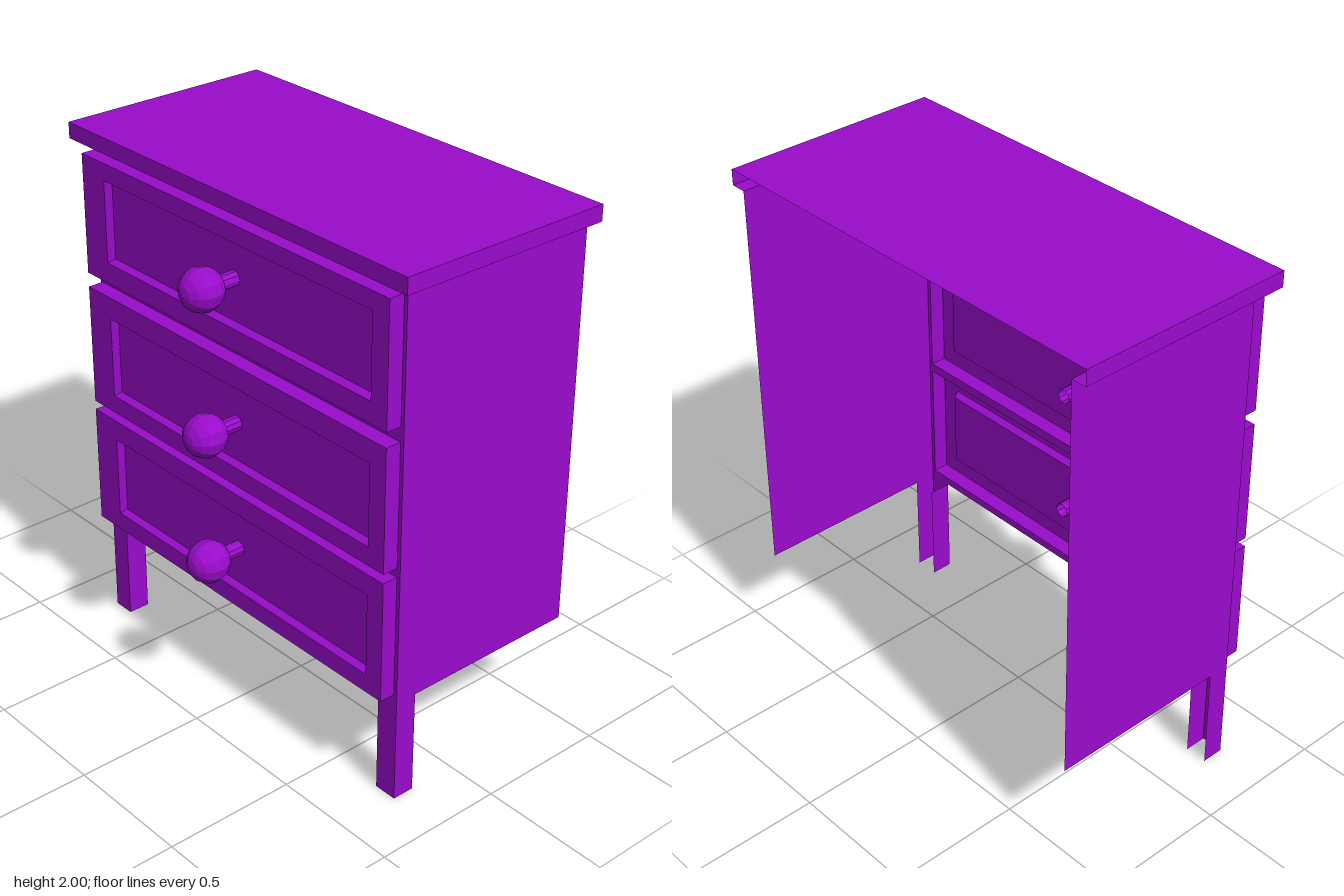
import * as THREE from 'three';

const material = new THREE.MeshStandardMaterial({ color: 0x9a0ccc, side: THREE.DoubleSide, flatShading: true });

// Body limits
const FRONT = -0.27, BACK = 0.52, Z0 = -0.795, Z1 = 0.8, BOTTOM = 0.4, TOP = 1.94;

function add(parent, name, geometry) {
  const mesh = new THREE.Mesh(geometry, material);
  mesh.name = name;
  parent.add(mesh);
  return mesh;
}

// Flat-shaded surface from a list of four-cornered faces
function quads(faces) {
  const points = [];
  for (const [a, b, c, d] of faces) points.push(...a, ...b, ...c, ...a, ...c, ...d);
  const geometry = new THREE.BufferGeometry();
  geometry.setAttribute('position', new THREE.Float32BufferAttribute(points, 3));
  geometry.computeVertexNormals();
  return geometry;
}

// Corners of an upright rectangle at a given x
function rect(x, z0, z1, y0, y1) {
  return [[x, y0, z0], [x, y0, z1], [x, y1, z1], [x, y1, z0]];
}

// Horizontal rectangle
function slab(y, x0, x1, z0, z1) {
  return [[x0, y, z0], [x0, y, z1], [x1, y, z1], [x1, y, z0]];
}

// Drawer front: rim walls, flat border, bevelled recess and panel
function drawerFront(y0, y1, p0, p1) {
  const loops = [
    rect(FRONT, -0.785, 0.785, y0, y1),
    rect(-0.33, -0.785, 0.785, y0, y1),
    rect(-0.33, -0.66, 0.71, p0, p1),
    rect(-0.305, -0.647, 0.697, p0 + 0.013, p1 - 0.013),
  ];
  const faces = [loops[3]];
  for (let i = 0; i < 3; i++) {
    for (let k = 0; k < 4; k++) {
      const n = (k + 1) % 4;
      faces.push([loops[i][k], loops[i][n], loops[i + 1][n], loops[i + 1][k]]);
    }
  }
  return quads(faces);
}

export function createModel() {
  const model = new THREE.Group();
  model.name = 'chestOfDrawers';

  // Top board, open underneath and at the back, with an overhanging lip
  const tx = -0.33, tz0 = -0.855, tz1 = 0.86, ty = 2;
  add(model, 'topBoard', quads([
    slab(ty, tx, BACK, tz0, tz1),
    [[tx, TOP, tz0], [tx, TOP, tz1], [tx, ty, tz1], [tx, ty, tz0]],
    [[tx, TOP, tz1], [BACK, TOP, tz1], [BACK, ty, tz1], [tx, ty, tz1]],
    [[BACK, TOP, tz0], [tx, TOP, tz0], [tx, ty, tz0], [BACK, ty, tz0]],
    slab(TOP, tx, FRONT, tz0, tz1).reverse(),
    slab(TOP, FRONT, BACK, Z1, tz1).reverse(),
    slab(TOP, FRONT, BACK, tz0, Z0).reverse(),
  ]));

  // Side panels
  for (const [name, z] of [['sidePanelNear', Z1], ['sidePanelFar', Z0]]) {
    const side = [[FRONT, BOTTOM, z], [BACK, BOTTOM, z], [BACK, TOP, z], [FRONT, TOP, z]];
    add(model, name, quads([z > 0 ? side : side.reverse()]));
  }

  // Drawer rows: bottom, top, panel bottom, panel top, knob height
  const rows = [
    [0.43, 0.895, 0.5, 0.815, 0.66],
    [0.93, 1.395, 1.0, 1.31, 1.16],
    [1.45, 1.905, 1.53, 1.84, 1.7],
  ];

  // Face frame with an opening for each drawer
  const frame = new THREE.Shape();
  frame.moveTo(Z0, BOTTOM).lineTo(Z1, BOTTOM).lineTo(Z1, TOP).lineTo(Z0, TOP).closePath();
  for (const [y0, y1] of rows) {
    const hole = new THREE.Path();
    hole.moveTo(-0.785, y0).lineTo(-0.785, y1).lineTo(0.785, y1).lineTo(0.785, y0).closePath();
    frame.holes.push(hole);
  }
  add(model, 'faceFrame', new THREE.ShapeGeometry(frame).rotateY(-Math.PI / 2).translate(FRONT, 0, 0));

  // Drawers, each with a round knob on a hollow stem
  rows.forEach(([y0, y1, p0, p1, knobY], i) => {
    const drawer = new THREE.Group();
    drawer.name = `drawer${i + 1}`;
    add(drawer, 'drawerFront', drawerFront(y0, y1, p0, p1));
    const stem = new THREE.CylinderGeometry(0.028, 0.028, 0.16, 10, 1, true).rotateZ(Math.PI / 2);
    add(drawer, 'knobStem', stem).position.set(-0.315, knobY, 0.02);
    const ball = new THREE.SphereGeometry(0.079, 12, 8).rotateZ(Math.PI / 2);
    add(drawer, 'knob', ball).position.set(-0.443, knobY, 0.02);
    model.add(drawer);
  });

  // Two channel-shaped legs, open towards the back
  const lx = -0.185;
  for (const [name, z0, z1] of [['legNear', 0.71, Z1], ['legFar', Z0, -0.71]]) {
    add(model, name, quads([
      rect(FRONT, z0, z1, 0, BOTTOM),
      [[FRONT, 0, z1], [lx, 0, z1], [lx, BOTTOM, z1], [FRONT, BOTTOM, z1]],
      [[lx, 0, z0], [FRONT, 0, z0], [FRONT, BOTTOM, z0], [lx, BOTTOM, z0]],
    ]));
  }

  return model;
}
